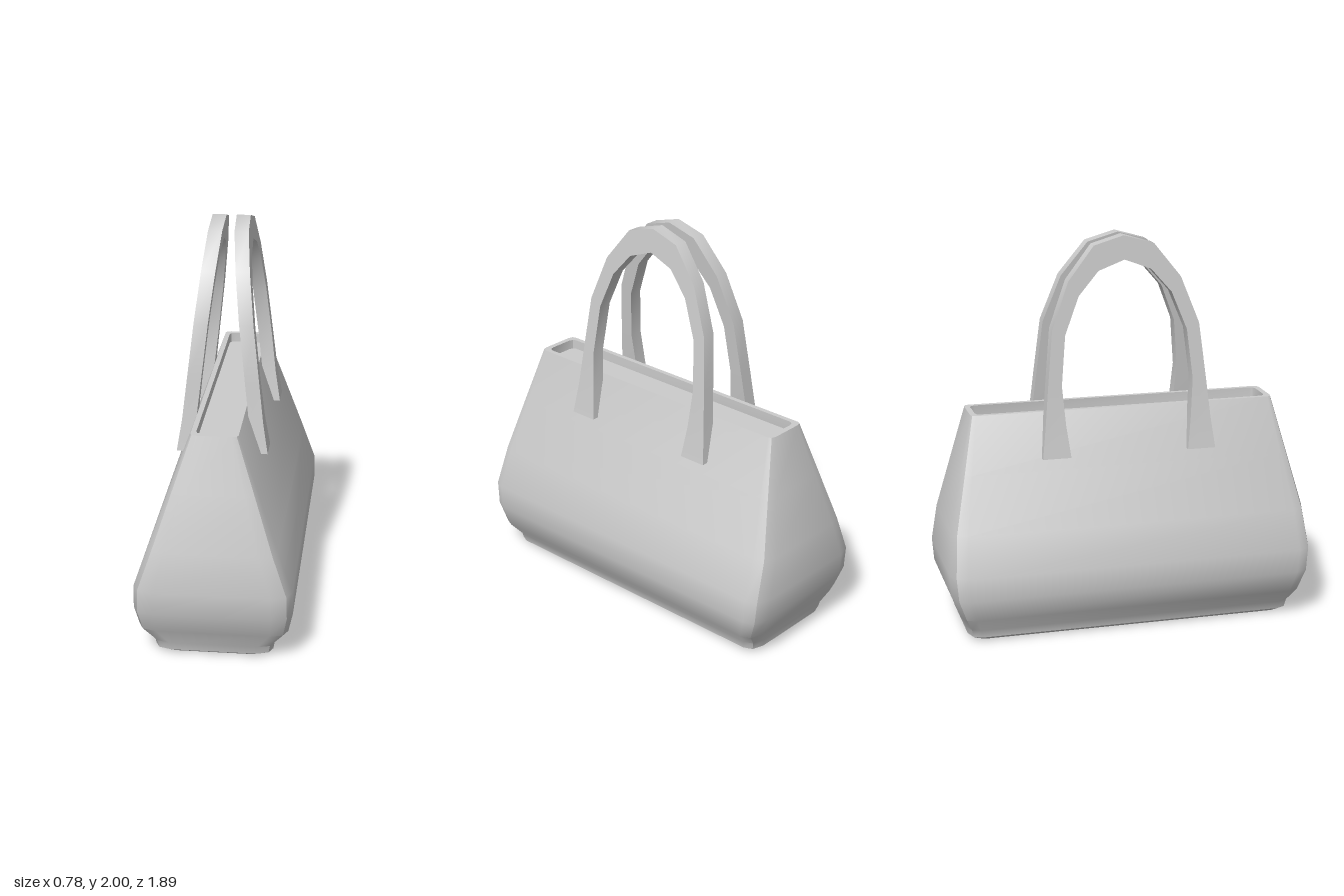
import * as THREE from 'three';
import { toCreasedNormals } from 'three/addons/utils/BufferGeometryUtils.js';

const material = new THREE.MeshStandardMaterial({ color: 0xcccccc });

// Skin a stack of closed rings and cap both ends
function loft(rings, crease) {
  const n = rings[0].length;
  const index = [];
  for (let i = 0; i < rings.length - 1; i++) {
    for (let j = 0; j < n; j++) {
      const a = i * n + j, b = i * n + (j + 1) % n;
      index.push(a, b, b + n, a, b + n, a + n);
    }
  }
  const last = (rings.length - 1) * n;
  for (let j = 1; j < n - 1; j++) {
    index.push(0, j + 1, j);
    index.push(last, last + j, last + j + 1);
  }
  const geometry = new THREE.BufferGeometry();
  geometry.setAttribute('position', new THREE.Float32BufferAttribute(rings.flat(2), 3));
  geometry.setIndex(index);
  return toCreasedNormals(geometry, crease);
}

// Rectangle with softened corners at height y
function bodyRing([y, hx, hz, r]) {
  const corner = [[hx - r, hz], [hx - 0.25 * r, hz - 0.25 * r], [hx, hz - 0.8 * r]];
  const back = [...corner].reverse();
  return [
    ...corner.map(([x, z]) => [x, y, z]),
    ...back.map(([x, z]) => [x, y, -z]),
    ...corner.map(([x, z]) => [-x, y, -z]),
    ...back.map(([x, z]) => [-x, y, z]),
  ];
}

// Outer face of a handle leans inward with height, flaring at the feet
const handleX = (y) => (y > 1.07 ? 0.095 + (2 - y) * 0.113 : 0.2 + (1.07 - y) * 0.16);

function handleGeometry() {
  // outer z, outer y, inner z, inner y from foot to crown
  const half = [
    [0.45, 0.91, 0.305, 0.91],
    [0.43, 1.07, 0.325, 1.07],
    [0.41, 1.27, 0.34, 1.27],
    [0.38, 1.55, 0.315, 1.52],
    [0.29, 1.785, 0.24, 1.71],
    [0.155, 1.955, 0.135, 1.83],
    [0, 2, 0, 1.88],
  ];
  const mirrored = half.slice(0, -1).reverse().map(([a, b, c, d]) => [-a, b, -c, d]);
  const rings = [...half, ...mirrored].map(([zo, yo, zi, yi]) => {
    const xo = handleX(yo), xi = handleX(yi), t = 0.07;
    return [[xo - t, yo, zo], [xo, yo, zo], [xi, yi, zi], [xi - t, yi, zi]];
  });
  return loft(rings, THREE.MathUtils.degToRad(38));
}

export function createModel() {
  const group = new THREE.Group();

  // Bag body: y, half width, half length, corner size; ends with the recessed opening
  const levels = [
    [0, 0.26, 0.82, 0.07],
    [0.02, 0.29, 0.85, 0.08],
    [0.06, 0.297, 0.858, 0.08],
    [0.14, 0.365, 0.895, 0.09],
    [0.25, 0.388, 0.937, 0.1],
    [0.37, 0.385, 0.947, 0.1],
    [0.57, 0.314, 0.926, 0.09],
    [0.85, 0.215, 0.858, 0.06],
    [1.13, 0.115, 0.79, 0.03],
    [1.13, 0.09, 0.762, 0.03],
    [1.08, 0.09, 0.762, 0.03],
  ];
  const body = new THREE.Mesh(loft(levels.map(bodyRing), THREE.MathUtils.degToRad(40)), material);
  body.name = 'bagBody';
  group.add(body);

  // Pair of arched handles
  const geometry = handleGeometry();
  for (const [name, turn] of [['leftHandle', 0], ['rightHandle', Math.PI]]) {
    const handle = new THREE.Mesh(geometry, material);
    handle.name = name;
    handle.rotation.y = turn;
    group.add(handle);
  }
  return group;
}
